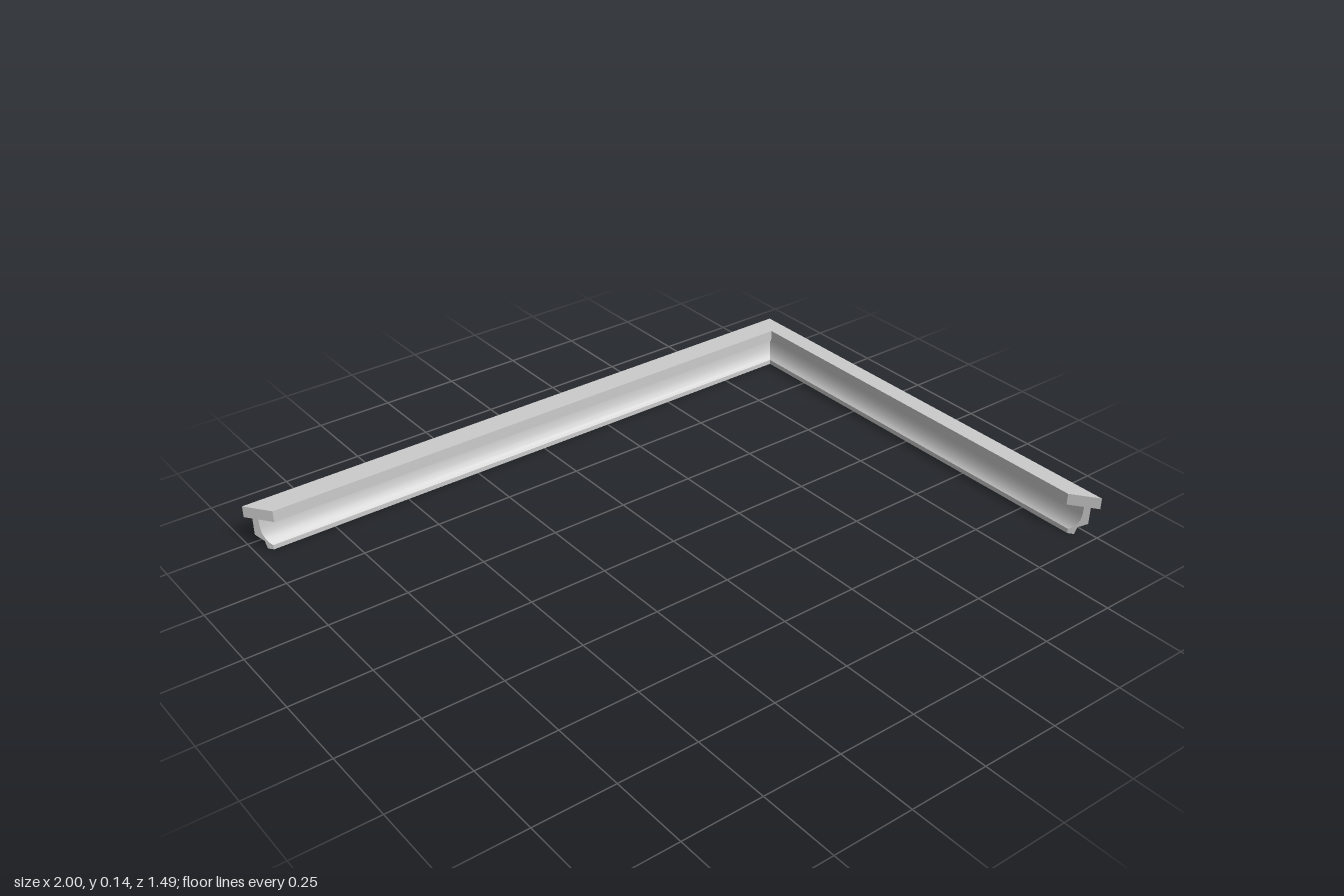
import * as THREE from 'three';
import { toCreasedNormals } from 'three/addons/utils/BufferGeometryUtils.js';

// Moulding cross-section: [depth from outer face (0..1), height]
const PROFILE = [
  [0.65, 0], [0.58, 0.025], [0.28, 0.042], [0.28, 0.098], [0, 0.098], [0, 0.135],
  [1, 0.135], [1, 0.098], [0.48, 0.098], [0.49, 0.07], [0.53, 0.05],
  [0.62, 0.033], [0.74, 0.021], [0.85, 0.015], [0.85, 0],
];
const HALF_X = 1, HALF_Z = 0.745;
const DEPTH_X = 0.058, DEPTH_Z = 0.078;

// Mitred section at a corner of the frame; sx and sz give the corner's signs
function section(sx, sz) {
  return PROFILE.map(([d, y]) =>
    new THREE.Vector3(sx * (HALF_X - DEPTH_X * d), y, sz * (HALF_Z - DEPTH_Z * d)));
}

// Rail swept between two mitred sections, capped at its free end
function rail(name, start, end, capStart, material) {
  const points = [];
  const n = start.length;
  for (let i = 0; i < n; i++) {
    const j = (i + 1) % n;
    points.push(start[i], start[j], end[j], start[i], end[j], end[i]);
  }
  const contour = PROFILE.map(([d, y]) => new THREE.Vector2(d, y));
  for (const [a, b, c] of THREE.ShapeUtils.triangulateShape(contour, [])) {
    if (capStart) points.push(start[a], start[b], start[c]);
    else points.push(end[a], end[c], end[b]);
  }
  const geometry = new THREE.BufferGeometry().setFromPoints(points);
  const mesh = new THREE.Mesh(toCreasedNormals(geometry, 0.5), material);
  mesh.name = name;
  return mesh;
}

export function createModel() {
  const group = new THREE.Group();
  group.name = 'cornerMoulding';
  const material = new THREE.MeshStandardMaterial({ color: 0xcccccc, side: THREE.DoubleSide });
  const corner = section(1, -1);
  group.add(
    rail('backRail', section(-1, -1), corner, true, material),
    rail('sideRail', corner, section(1, 1), false, material),
  );
  return group;
}
